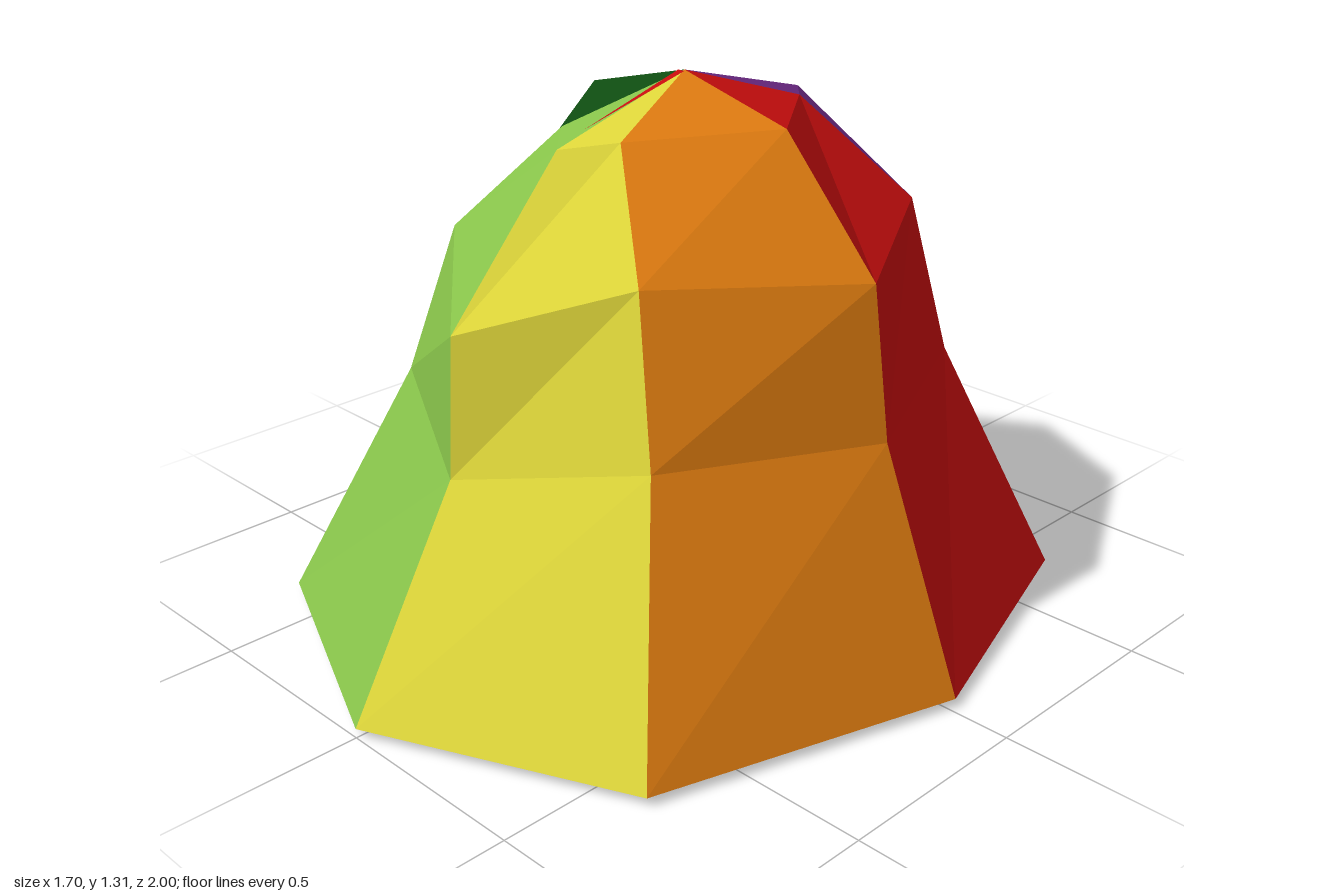
import * as THREE from 'three';

const paint = (name, color) => {
  const m = new THREE.MeshStandardMaterial({ color });
  m.name = name;
  return m;
};

// Flat-shaded mesh from a list of polygons (corners counter-clockwise from outside)
function facets(name, polys, material) {
  const pos = [];
  for (const p of polys) {
    for (let i = 1; i < p.length - 1; i++) pos.push(...p[0], ...p[i], ...p[i + 1]);
  }
  const g = new THREE.BufferGeometry();
  g.setAttribute('position', new THREE.Float32BufferAttribute(pos, 3));
  g.computeVertexNormals();
  const mesh = new THREE.Mesh(g, material);
  mesh.name = name;
  return mesh;
}

const lerp = (a, b, t) => a.map((v, i) => v + (b[i] - v) * t);

// Seam profiles from hem to crown, as [x, y, z]
const APEX = [0, 1.305, -0.01];
const front = [[0, 0.02, 1], [0, 0.52, 0.71], [0, 0.85, 0.69], [0, 1.195, 0.38], APEX];
const frontDiagonal = [[0.625, 0.02, 0.725], [0.41, 0.6, 0.5], [0.305, 0.965, 0.43], [0.095, 1.21, 0.28], APEX];
const side = [[0.85, 0.02, -0.015], [0.625, 0.575, -0.015], [0.575, 0.935, -0.015], [0.31, 1.225, -0.015], APEX];
const backDiagonal = [[0.625, 0.02, -0.69], [0.41, 0.6, -0.5], [0.315, 0.97, -0.465], [0.09, 1.21, -0.305], APEX];
const back = [[0, 0.02, -1], [0, 0.535, -0.755], [0, 0.85, -0.72], [0, 1.2, -0.4], APEX];
const mirror = (seam) => seam.map(([x, y, z]) => [-x, y, z]);
const seams = [front, frontDiagonal, side, backDiagonal, back,
  mirror(backDiagonal), mirror(side), mirror(frontDiagonal)];

// Push a seam inward along its normal to make the lining
function inset(seam, t) {
  return seam.map((p, i) => {
    if (i === seam.length - 1) return [p[0], p[1] - t, p[2]];
    const a = seam[Math.max(i - 1, 0)], b = seam[i + 1];
    const dr = Math.hypot(b[0], b[2]) - Math.hypot(a[0], a[2]);
    const dy = b[1] - a[1], len = Math.hypot(dr, dy);
    const r = Math.hypot(p[0], p[2]);
    const k = (r - t * dy / len) / r;
    return [p[0] * k, p[1] + t * dr / len, p[2] * k];
  });
}

export function createModel() {
  const group = new THREE.Group();
  group.name = 'panelledBell';

  const red = paint('red', 0xc80e0e);
  const panels = [
    ['frontLeftPanel', paint('yellow', 0xdfd73a)],
    ['leftFrontPanel', paint('orange', 0xdc7a10)],
    ['leftBackPanel', red],
    ['backLeftPanel', paint('purple', 0x6a2882)],
    ['backRightPanel', paint('blue', 0x2610d6)],
    ['rightBackPanel', paint('teal', 0x11cdbc)],
    ['rightFrontPanel', paint('dark green', 0x0f4d11)],
    ['frontRightPanel', paint('lime', 0x88c44a)],
  ];
  const inner = seams.map((s) => inset(s, 0.045));
  const lining = [], hem = [];

  panels.forEach(([name, material], i) => {
    const j = (i + 1) % 8;
    const a = seams[i], b = seams[j], c = inner[i], d = inner[j];
    const outer = [];
    for (let k = 0; k < 3; k++) {
      outer.push([a[k], b[k], b[k + 1], a[k + 1]]);
      lining.push([c[k], c[k + 1], d[k + 1], d[k]]);
    }
    lining.push([c[3], c[4], d[3]]);
    hem.push([c[0], d[0], b[0], a[0]]);
    if (name === 'backRightPanel') {
      // The neighbouring teal reaches across the crown of this panel
      const p = lerp(a[3], APEX, 0.54), q = lerp(b[3], APEX, 0.4);
      outer.push([a[3], b[3], q, p]);
      group.add(facets('tealCrownCorner', [[p, q, APEX]], panels[5][1]));
    } else {
      outer.push([a[3], b[3], APEX]);
    }
    group.add(facets(name, outer, material));
  });

  group.add(facets('lining', lining, red));
  group.add(facets('hem', hem, red));

  // Narrow red slit down the front of the crown
  group.add(facets('crownSlit', [
    [[-0.01, 1.305, 0], [0, 1.224, 0.3], [0.01, 1.305, 0]],
  ], red));
  return group;
}
